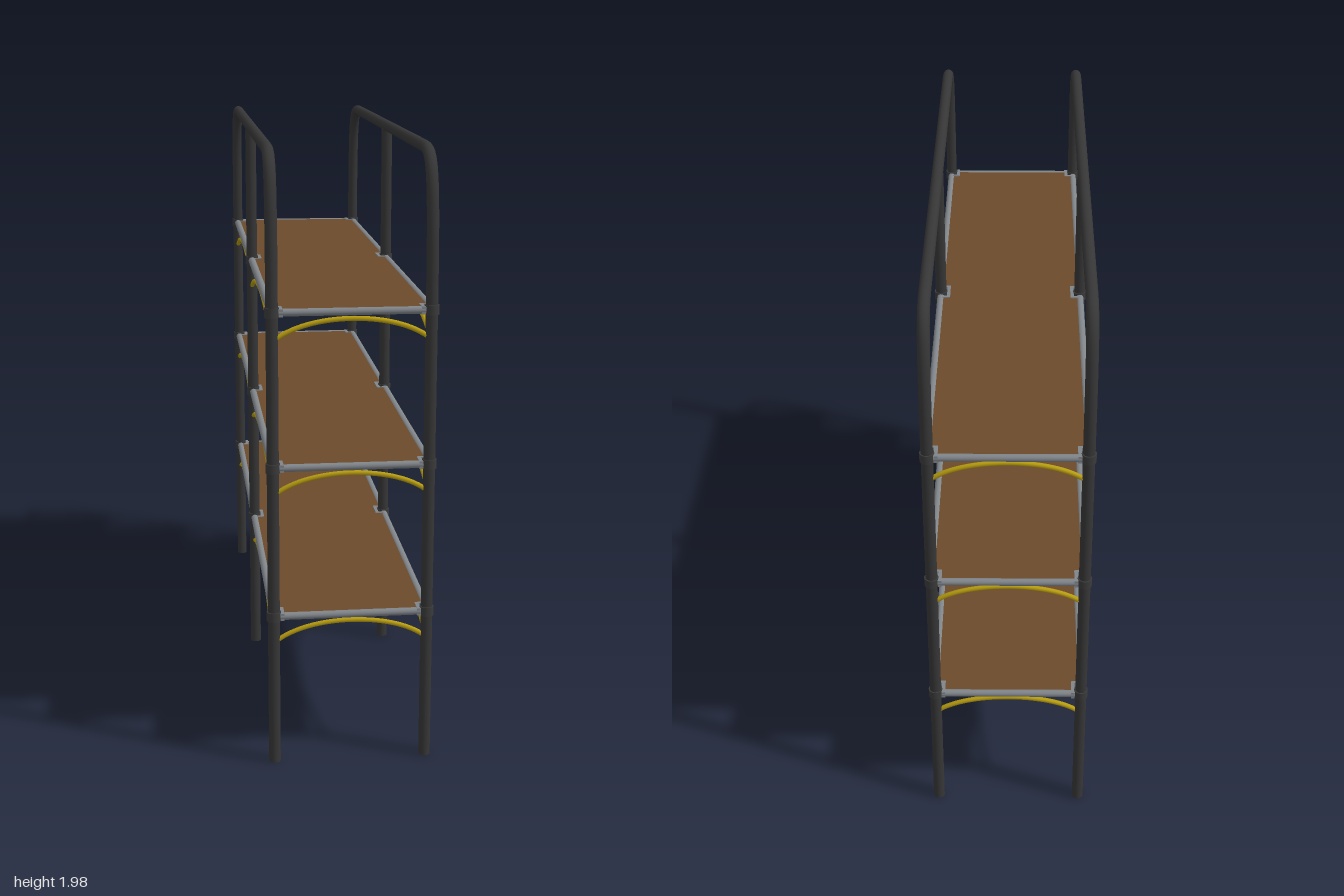
import * as THREE from 'three';

const mat = (color) => new THREE.MeshStandardMaterial({ color });
const steel = mat(0x363636), rail = mat(0x80858a), wood = mat(0x6b4a2a), dark = mat(0x3a3a3a), yellow = mat(0xb89d10);

const PX = 0.245, PZ = 0.98, R = 0.019;
const v = (x, y, z) => new THREE.Vector3(x, y, z);

function add(parent, name, geometry, material) {
  const m = new THREE.Mesh(geometry, material);
  m.name = name;
  parent.add(m);
  return m;
}

// round bar between two points
function bar(parent, name, a, b, r, material) {
  const m = add(parent, name, new THREE.CylinderGeometry(r, r, a.distanceTo(b), 16), material);
  m.position.copy(a).add(b).multiplyScalar(0.5);
  m.quaternion.setFromUnitVectors(v(0, 1, 0), b.clone().sub(a).normalize());
}

// bowed brace between two points, rising to a flat crown
function arch(parent, a, b, rise) {
  const c1 = a.clone().lerp(b, 0.23), c2 = a.clone().lerp(b, 0.77);
  c1.y += rise * 4 / 3;
  c2.y += rise * 4 / 3;
  const curve = new THREE.CubicBezierCurve3(a, c1, c2, b);
  add(parent, 'archBrace', new THREE.TubeGeometry(curve, 32, 0.008, 8), yellow);
}

// bent side frame: two legs and a top bar in one tube, plus a middle post
function sideFrame(x) {
  const g = new THREE.Group();
  g.name = 'sideFrame';
  const path = new THREE.CurvePath();
  path.add(new THREE.LineCurve3(v(x, 0, PZ), v(x, 1.45, PZ)));
  path.add(new THREE.CubicBezierCurve3(v(x, 1.45, PZ), v(x, 1.9, PZ), v(x, 1.96, 0.95), v(x, 1.96, 0.8)));
  path.add(new THREE.LineCurve3(v(x, 1.96, 0.8), v(x, 1.96, -0.8)));
  path.add(new THREE.CubicBezierCurve3(v(x, 1.96, -0.8), v(x, 1.96, -0.95), v(x, 1.9, -PZ), v(x, 1.45, -PZ)));
  path.add(new THREE.LineCurve3(v(x, 1.45, -PZ), v(x, 0, -PZ)));
  add(g, 'bentTube', new THREE.TubeGeometry(path, 200, R, 16), steel);
  for (const z of [-PZ, PZ]) {
    const cap = add(g, 'footCap', new THREE.CircleGeometry(R, 16), steel);
    cap.rotation.x = Math.PI / 2;
    cap.position.set(x, 0, z);
  }
  bar(g, 'middlePost', v(x, 0, 0), v(x, 1.95, 0), R, steel);
  return g;
}

// board outline notched around the six posts
function boardShape() {
  const q = [[0.215, 0.985], [0.215, 0.945], [0.24, 0.945], [0.24, 0.035], [0.215, 0.035]];
  const flip = (sx, sz) => q.map(([x, z]) => new THREE.Vector2(x * sx, z * sz));
  return new THREE.Shape([
    ...flip(1, 1), ...flip(1, -1).reverse(), ...flip(-1, -1), ...flip(-1, 1).reverse(),
  ]);
}

function shelf(y) {
  const g = new THREE.Group();
  g.name = 'shelf';
  // wooden top on a dark underside
  for (const [name, base, depth, m] of [['boardTop', 0.002, 0.007, wood], ['boardUnderside', -0.009, 0.011, dark]]) {
    const geo = new THREE.ExtrudeGeometry(boardShape(), { depth, bevelEnabled: false });
    add(g, name, geo.rotateX(-Math.PI / 2).translate(0, base, 0), m);
  }
  for (const s of [-1, 1]) {
    // edge rails
    bar(g, 'sideRail', v(s * PX, 0, -PZ), v(s * PX, 0, PZ), 0.013, rail);
    bar(g, 'endRail', v(-0.225, 0, s * 0.985), v(0.225, 0, s * 0.985), 0.012, rail);
    for (const z of [-PZ, 0, PZ]) {
      // collar around the post
      const collar = add(g, 'collar', new THREE.CylinderGeometry(0.023, 0.023, 0.03, 16), dark);
      collar.position.set(s * PX, 0, z);
      // notch edging on the inner side of the post
      const zc = z === 0 ? 0 : Math.sign(z) * 0.968;
      const edge = add(g, 'notchEdge', new THREE.BoxGeometry(0.012, 0.024, z === 0 ? 0.08 : 0.056), rail);
      edge.position.set(s * 0.218, 0, zc);
      for (const d of z === 0 ? [-0.036, 0.036] : [Math.sign(z) * 0.944]) {
        const lip = add(g, 'notchLip', new THREE.BoxGeometry(0.034, 0.024, 0.01), rail);
        lip.position.set(s * 0.232, 0, d);
      }
    }
    // braces below both bays and both ends
    for (const t of [-1, 1]) arch(g, v(s * PX, -0.092, t * 0.012), v(s * PX, -0.092, t * 0.97), 0.07);
    arch(g, v(-0.236, -0.085, s * PZ), v(0.236, -0.085, s * PZ), 0.062);
  }
  g.position.y = y;
  return g;
}

export function createModel() {
  const model = new THREE.Group();
  model.name = 'shelvingRack';
  for (const x of [-PX, PX]) model.add(sideFrame(x));
  for (const y of [0.502, 0.992, 1.482]) model.add(shelf(y));
  return model;
}
